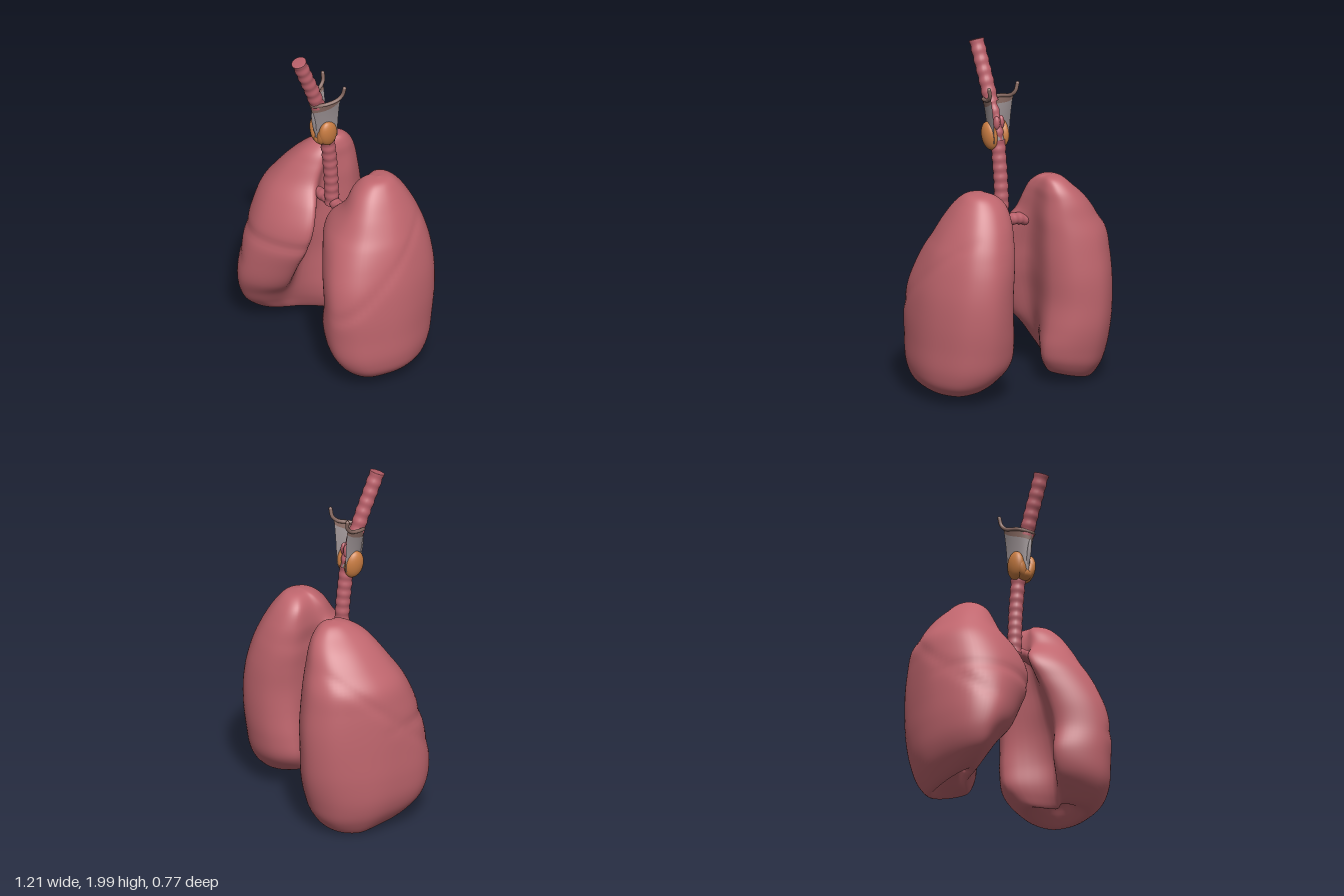
import * as THREE from 'three';
import { mergeVertices } from 'three/addons/utils/BufferGeometryUtils.js';

const mat = (name, color, side = THREE.FrontSide) => {
  const m = new THREE.MeshStandardMaterial({ color, side });
  m.name = name;
  return m;
};
const V = (x, y, z) => new THREE.Vector3(x, y, z);

// Indexed surface through a grid of points, rows[i][j]
function gridGeometry(rows, closed, flip = false) {
  const n = rows[0].length, index = [];
  for (let i = 0; i < rows.length - 1; i++) {
    for (let j = 0; j < (closed ? n : n - 1); j++) {
      const k = (j + 1) % n;
      const a = i * n + j, b = a + n, c = (i + 1) * n + k, d = i * n + k;
      index.push(...(flip ? [a, c, b, a, d, c] : [a, b, c, a, c, d]));
    }
  }
  const g = new THREE.BufferGeometry().setFromPoints(rows.flat());
  g.setIndex(index);
  g.computeVertexNormals();
  return g;
}

// Lung cross-sections from apex to hollow base:
// y, lateral x, front inner x, back inner x, hilum x, front z, back z
const RIGHT_LUNG = [
  [1.24, .225, .225, .225, .225, -.12, -.12], [1.225, .28, .175, .175, .18, -.04, -.19],
  [1.17, .345, .15, .155, .16, .05, -.25], [1.1, .42, .14, .15, .16, .11, -.29],
  [1.0, .5, .125, .14, .165, .18, -.32], [.9, .565, .06, .14, .17, .25, -.35],
  [.78, .587, .025, .14, .18, .31, -.37], [.65, .598, .045, .145, .19, .35, -.385],
  [.5, .603, .12, .15, .22, .375, -.385], [.35, .603, .2, .135, .25, .38, -.375],
  [.2, .588, .28, .125, .28, .35, -.345], [.09, .55, .33, .14, .31, .3, -.31],
  [.005, .48, .36, .2, .33, .17, -.24], [.04, .44, .37, .27, .34, .1, -.18],
  [.1, .4, .36, .33, .35, .02, -.09], [.115, .37, .37, .37, .37, -.03, -.03],
];
const LEFT_LUNG = [
  [1.22, .275, .275, .275, .275, -.08, -.08], [1.205, .335, .21, .2, .21, 0, -.16],
  [1.15, .385, .17, .14, .17, .07, -.22], [1.05, .445, .145, .118, .15, .14, -.28],
  [.95, .495, .065, .12, .16, .205, -.32], [.88, .525, .06, .12, .165, .25, -.34],
  [.78, .555, .1, .13, .18, .295, -.36], [.65, .583, .15, .14, .2, .335, -.37],
  [.5, .597, .185, .135, .24, .35, -.367], [.35, .6, .165, .12, .27, .345, -.35],
  [.2, .597, .2, .12, .28, .32, -.32], [.11, .57, .26, .16, .3, .26, -.265],
  [.055, .5, .31, .22, .33, .18, -.19], [.09, .46, .33, .28, .35, .1, -.12],
  [.15, .42, .35, .33, .36, .03, -.06], [.16, .38, .38, .38, .38, -.01, -.01],
];

function lungGeometry(sections, side) {
  const N = 72, M = 90;
  const rings = sections.map(([y, L, A, B, H, zf, zb]) => {
    const c = (zf + zb) / 2, d = (zf - zb) / 2;
    const front = t => A + (L - A) * t, back = t => B + (L - B) * t;
    const outline = [
      [A, .58], [front(.2), .87], [front(.55), 1], [front(.84), .78], [L, .2],
      [L - (L - A) * .02, -.3], [back(.82), -.78], [back(.52), -1],
      [back(.16), -.86], [B, -.5], [H, .22],
    ].map(([x, t]) => {
      // Lower rim rises towards the middle of the body, on the right also forwards
      const z = c + d * t, low = Math.max(0, (.35 - y) / .35);
      const rise = .25 * Math.max(0, .47 - x) + (side < 0 ? .2 * Math.max(0, z + .1) : 0);
      return V(x, y + low * rise, z);
    });
    return new THREE.CatmullRomCurve3(outline, true).getPoints(N).slice(0, N);
  });
  const columns = rings[0].map((_, j) =>
    new THREE.CatmullRomCurve3(rings.map(r => r[j])).getPoints(M));
  const rows = Array.from({ length: M + 1 }, (_, i) => columns.map(col => col[i].clone()));
  rows.flat().forEach(p => {
    // Shallow fissures between the lobes
    const dent = q => Math.exp(-((q / .035) ** 2));
    let f = p.x > .38 ? dent(p.y - .78 + .85 * p.z) * Math.min(1, (p.x - .38) / .1) : 0;
    if (side < 0 && p.z > 0) f = Math.max(f, dent(p.y - .66) * Math.min(1, p.z / .15));
    p.x += (.35 - p.x) * f * .025;
    p.z -= p.z * f * .025;
    p.x *= side;
    p.y = Math.max(0, p.y);
  });
  return gridGeometry(rows, true, side < 0);
}

// Tube swollen at regular intervals by cartilage rings
function ringedTube(points, radius, rings, ridge) {
  const seg = rings * 8, radial = 20;
  const path = new THREE.CatmullRomCurve3(points);
  let g = new THREE.TubeGeometry(path, seg, 1, radial);
  const pos = g.attributes.position, p = V(0, 0, 0);
  for (let i = 0; i <= seg; i++) {
    const c = path.getPointAt(i / seg);
    const r = radius * (1 + ridge * Math.cos(i / 4 * Math.PI));
    for (let j = 0; j <= radial; j++) {
      const k = i * (radial + 1) + j;
      p.fromBufferAttribute(pos, k).sub(c).multiplyScalar(r).add(c);
      pos.setXYZ(k, p.x, p.y, p.z);
    }
  }
  g.deleteAttribute('uv');
  g.deleteAttribute('normal');
  g = mergeVertices(g);
  g.computeVertexNormals();
  return g;
}

// Curved shield, open behind; from and to are height fractions
function shieldGeometry(from, to) {
  const rows = [];
  for (let i = 0; i <= 14; i++) {
    const row = [];
    for (let j = 0; j <= 40; j++) {
      const u = j / 20 - 1, a = Math.abs(u);
      const t = to(a) + (from(a) - to(a)) * i / 14;
      const bottom = 1.4 + .03 * a, top = 1.655 + .03 * a + .03 * a ** 6;
      const y = bottom + (top - bottom) * t;
      const w = .054 + .03 * t * t;
      const depth = .11 + .04 * t;
      const bend = .75 * (1 - Math.cos(a * Math.PI / 2)) + .25 * a;
      row.push(V(w * Math.sin(u * Math.PI / 2), y, .158 + .037 * t - depth * bend));
    }
    rows.push(row);
  }
  return gridGeometry(rows, false);
}

export function createModel() {
  const model = new THREE.Group();
  const lung = mat('lung pink', 0xc0666e);
  const airway = mat('airway pink', 0xb9606a);
  const cartilage = mat('cartilage grey', 0x9a9092, THREE.DoubleSide);
  const membrane = mat('membrane brown', 0x886a62, THREE.DoubleSide);
  const gland = mat('gland orange', 0xc87c42);
  const add = (name, geometry, material, parent = model) => {
    const m = new THREE.Mesh(geometry, material);
    m.name = name;
    parent.add(m);
    return m;
  };
  const ball = (name, material, parent, scale, position) => {
    const m = add(name, new THREE.SphereGeometry(1, 24, 16), material, parent);
    m.scale.set(...scale);
    m.position.set(...position);
    return m;
  };

  add('rightLung', lungGeometry(RIGHT_LUNG, -1), lung);
  add('leftLung', lungGeometry(LEFT_LUNG, 1), lung);

  // Windpipe below the voice box, throat above it with a closed end
  const lower = [V(0, .945, .045), V(0, 1.2, .058), V(0, 1.44, .085)];
  add('windpipe', ringedTube(lower, .041, 9, .05), airway);
  const upper = [V(0, 1.645, .148), V(0, 1.75, .185), V(0, 1.86, .23), V(0, 1.983, .28)];
  add('throat', ringedTube(upper, .042, 6, .05), airway);
  const cap = ball('throatEnd', airway, model, [.044, .004, .044], [0, 1.983, .28]);
  cap.rotation.x = .38;
  const inner = [V(0, 1.42, .072), V(0, 1.54, .088), V(0, 1.66, .14)];
  add('innerThroat', ringedTube(inner, .025, 4, .12), airway);

  // Bronchi
  for (const s of [-1, 1]) {
    const branch = [V(0, .955, .045), V(s * .06, .958, .048), V(s * .12, .952, .048), V(s * .2, .93, .042)];
    add(s < 0 ? 'rightBronchus' : 'leftBronchus', ringedTube(branch, .034, 5, .03), airway);
  }

  // Voice box: grey shield, brown upper band, horned rim, ring below
  const larynx = new THREE.Group();
  larynx.name = 'larynx';
  model.add(larynx);
  const edge = a => .8 + .06 * a;
  add('shieldCartilage', shieldGeometry(() => 0, edge), cartilage, larynx);
  add('upperMembrane', shieldGeometry(edge, () => 1), membrane, larynx);
  const halfRim = [[.102, 1.765, .034], [.092, 1.72, .04], [.082, 1.69, .07], [.056, 1.672, .145]];
  const rim = new THREE.CatmullRomCurve3([
    ...halfRim.map(([x, y, z]) => V(-x, y, z)), V(0, 1.655, .187),
    ...halfRim.map(([x, y, z]) => V(x, y, z)).reverse(),
  ]);
  add('hornedRim', new THREE.TubeGeometry(rim, 60, .011, 10), membrane, larynx);
  for (const s of [-1, 1]) ball('hornTip', membrane, larynx, [.011, .011, .011], [s * .102, 1.765, .034]);
  const ridge = ball('frontRidge', cartilage, larynx, [.013, .085, .013], [0, 1.535, .172]);
  ridge.rotation.x = .16;
  const ring = add('ringCartilage', new THREE.CylinderGeometry(.046, .046, .07, 24), cartilage, larynx);
  ring.position.set(0, 1.45, .1);
  ring.rotation.x = .2;

  // Small lumps behind the voice box
  for (const s of [-1, 1]) ball('rearLump', airway, larynx, [.018, .04, .02], [s * .016, 1.54, .075]);

  // Thyroid gland: two lobes and a bridge
  const thyroid = new THREE.Group();
  thyroid.name = 'thyroidGland';
  model.add(thyroid);
  for (const s of [-1, 1]) {
    const lobe = ball('glandLobe', gland, thyroid, [.037, .083, .058], [s * .043, 1.462, .107]);
    lobe.rotation.set(.15, 0, -s * .08);
    const front = ball('frontLobe', gland, thyroid, [.03, .06, .03], [s * .032, 1.445, .138]);
    front.rotation.z = -s * .3;
  }
  ball('glandBridge', gland, thyroid, [.05, .036, .04], [0, 1.416, .125]);

  return model;
}
